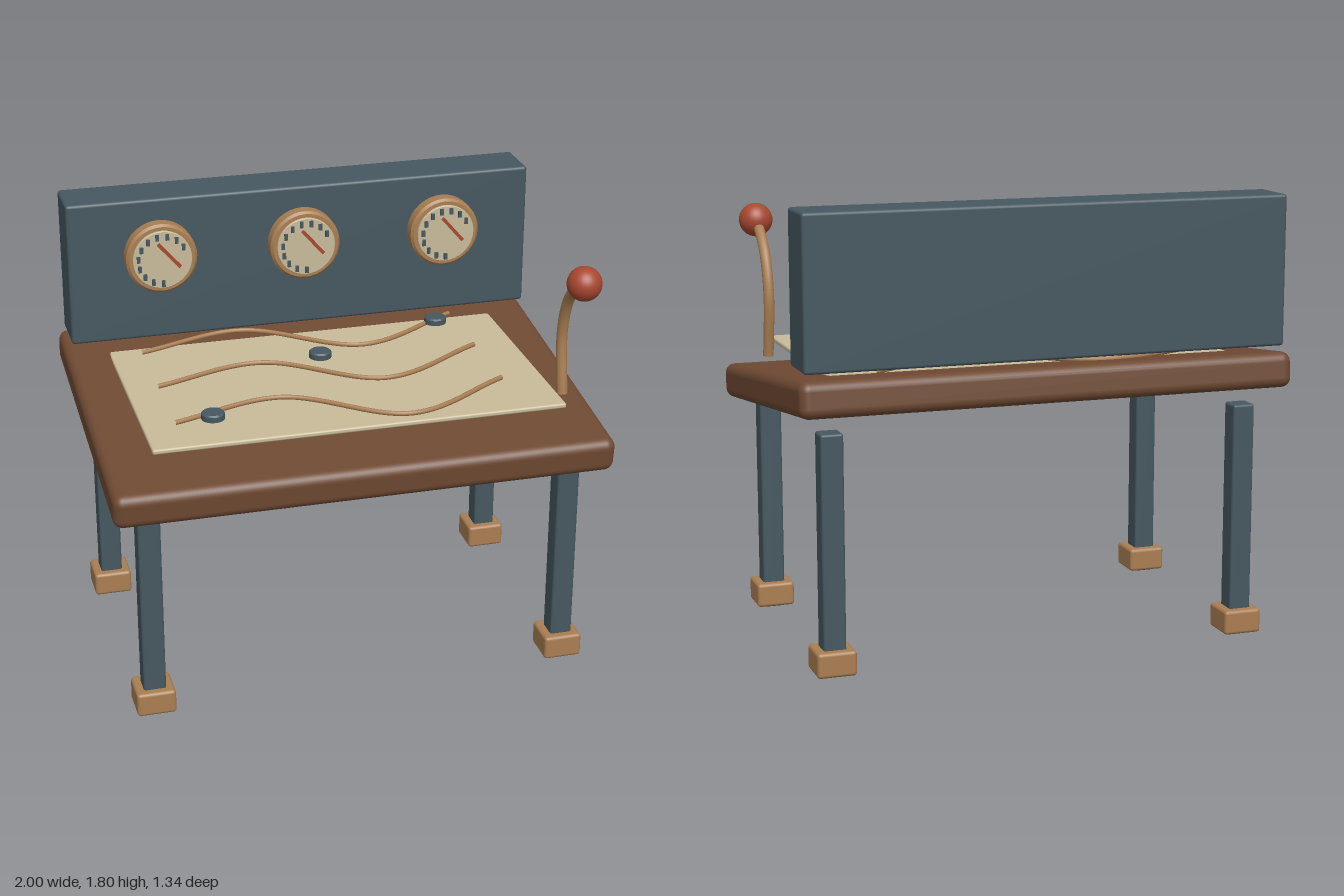
import * as THREE from 'three';
import { RoundedBoxGeometry } from 'three/addons/geometries/RoundedBoxGeometry.js';
import { toCreasedNormals } from 'three/addons/utils/BufferGeometryUtils.js';

const mat = (name, color) => {
  const m = new THREE.MeshStandardMaterial({ color });
  m.name = name;
  return m;
};

export function createModel() {
  const wood = mat('walnut', 0x6f4a33);
  const slate = mat('slate', 0x465860);
  const brass = mat('brass', 0xa97e52);
  const paper = mat('parchment', 0xc8bb9a);
  const red = mat('red', 0xa8482f);

  const model = new THREE.Group();
  model.name = 'mapConsole';

  const add = (name, geometry, material, x, y, z, parent = model) => {
    const mesh = new THREE.Mesh(geometry, material);
    mesh.name = name;
    mesh.position.set(x, y, z);
    parent.add(mesh);
    return mesh;
  };
  const rounded = (w, h, d, r, seg = 3) => new RoundedBoxGeometry(w, h, d, seg, r);

  // Disc with a chamfered top edge, standing on y = 0
  const disc = (r, h, bevel) => toCreasedNormals(new THREE.LatheGeometry([
    [0, 0], [r, 0], [r, h - bevel], [r - bevel, h], [0, h],
  ].map(([a, b]) => new THREE.Vector2(a, b)), 36), 0.6);

  // Sloping table top
  const top = add('tableTop', rounded(2, 0.142, 1.34, 0.04, 4), wood, 0, 1.033, 0);
  top.rotation.x = 0.12;

  // Legs with block feet
  for (const x of [-0.85, 0.85]) {
    for (const z of [0.505, -0.495]) {
      add('leg', rounded(0.09, 0.955, 0.09, 0.01), slate, x, 0.4775, z);
      add('foot', rounded(0.157, 0.1, 0.157, 0.014), brass, x, 0.06, z);
    }
  }

  // Upright instrument panel
  add('instrumentPanel', rounded(1.95, 0.6, 0.215, 0.013), slate, 0, 1.502, -0.518);

  // Dials
  const bezelGeo = disc(0.147, 0.06, 0.01);
  const faceGeo = disc(0.122, 0.012, 0.002);
  const tickGeo = new THREE.BoxGeometry(0.014, 0.026, 0.009);
  const needleGeo = new THREE.BoxGeometry(0.014, 0.135, 0.01);
  for (const x of [-0.6, 0, 0.6]) {
    const dial = new THREE.Group();
    dial.name = 'dial';
    dial.position.set(x, 1.565, -0.411);
    model.add(dial);
    add('dialRim', bezelGeo, brass, 0, 0, 0, dial).rotation.x = Math.PI / 2;
    add('dialFace', faceGeo, paper, 0, 0, 0.06, dial).rotation.x = Math.PI / 2;
    for (let i = 0; i < 11; i++) {
      const a = THREE.MathUtils.degToRad(270 - i * 24);
      add('dialTick', tickGeo, slate, Math.cos(a) * 0.1, Math.sin(a) * 0.1, 0.0765, dial);
    }
    add('dialNeedle', needleGeo, red, 0.025, 0.022, 0.086, dial).rotation.z = 0.71;
  }

  // Level map sheet
  add('mapSheet', rounded(1.65, 0.021, 1.1, 0.008), paper, 0, 1.1435, 0);

  // Winding route lines
  for (const z of [-0.35, 0, 0.35]) {
    const path = new THREE.CatmullRomCurve3(
      [[-0.7, 0], [-0.25, -0.125], [0.2, 0.15], [0.65, -0.083]]
        .map(([px, pz]) => new THREE.Vector3(px, 0, pz)));
    add('routeLine', new THREE.TubeGeometry(path, 48, 0.01, 8), brass, 0, 1.164, z);
  }

  // Map markers
  const markerGeo = disc(0.046, 0.028, 0.006);
  for (const [x, z] of [[-0.55, 0.35], [0, -0.12], [0.565, -0.35]]) {
    add('mapMarker', markerGeo, slate, x, 1.165, z);
  }

  // Curved lever and knob
  const leverPath = new THREE.CatmullRomCurve3(
    [[1.105, 0.352], [1.35, 0.322], [1.5, 0.365], [1.59, 0.44], [1.645, 0.53]]
      .map(([y, z]) => new THREE.Vector3(0, y, z)));
  add('lever', new THREE.TubeGeometry(leverPath, 32, 0.022, 12), brass, 0.88, 0, 0);
  add('leverKnob', new THREE.SphereGeometry(0.069, 28, 20), red, 0.88, 1.645, 0.53);

  return model;
}
